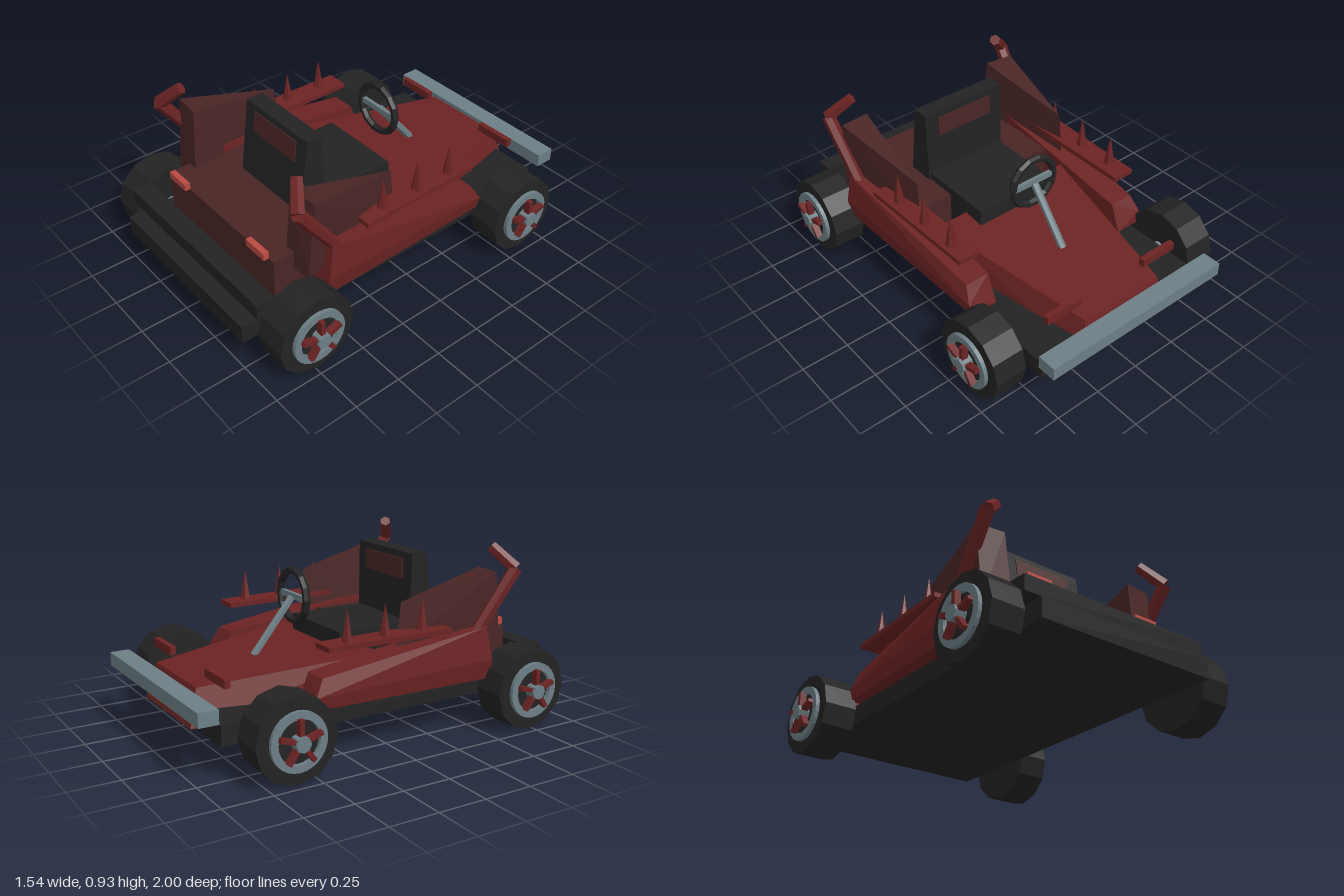
import * as THREE from 'three';
import { ConvexGeometry } from 'three/addons/geometries/ConvexGeometry.js';

const paint = (name, color) => Object.assign(new THREE.MeshStandardMaterial({ color, flatShading: true }), { name });

export function createModel() {
  const model = new THREE.Group();
  model.name = 'kart';
  const red = paint('body red', 0x6c2323);
  const brown = paint('dark maroon', 0x4a2525);
  const black = paint('rubber black', 0x232323);
  const steel = paint('steel grey', 0x6c7f86);
  const lampRed = paint('lamp red', 0xb84a40);

  const add = (name, geo, mat, parent = model) => {
    const mesh = new THREE.Mesh(geo, mat);
    mesh.name = name;
    parent.add(mesh);
    return mesh;
  };
  // Box given by its min and max on each axis
  const box = (name, mat, [x0, x1], [y0, y1], [z0, z1], parent) => {
    const m = add(name, new THREE.BoxGeometry(x1 - x0, y1 - y0, z1 - z0), mat, parent);
    m.position.set((x0 + x1) / 2, (y0 + y1) / 2, (z0 + z1) / 2);
    return m;
  };
  // Faceted solid around a few corners, optionally mirrored by s
  const solid = (name, mat, pts, s = 1) =>
    add(name, new ConvexGeometry(pts.map(([x, y, z]) => new THREE.Vector3(x * s, y, z))), mat);
  // Corners for a shape symmetric in x
  const both = (pts) => pts.flatMap(([x, y, z]) => [[x, y, z], [-x, y, z]]);
  // Round bar between two points
  const bar = (name, mat, a, b, r0, r1, sides, parent) => {
    const p = new THREE.Vector3(...a), q = new THREE.Vector3(...b), d = q.clone().sub(p);
    const m = add(name, new THREE.CylinderGeometry(r1, r0, d.length(), sides), mat, parent);
    m.position.copy(p).add(q).multiplyScalar(0.5);
    m.quaternion.setFromUnitVectors(new THREE.Vector3(0, 1, 0), d.normalize());
    return m;
  };

  // Floor and bumpers
  box('floorPan', black, [-0.5, 0.5], [0.16, 0.26], [-0.875, 1]);
  box('tailBumper', black, [-0.54, 0.54], [0.3, 0.38], [0.84, 0.94]);
  box('noseBumper', steel, [-0.54, 0.54], [0.285, 0.355], [-1, -0.9]);

  // Nose cowl
  solid('noseCowl', red, both([
    [0.27, 0.18, -0.92], [0.235, 0.36, -0.87],
    [0.44, 0.2, 0.06], [0.41, 0.435, 0.02],
  ]));

  // Engine deck
  box('engineDeck', brown, [-0.44, 0.44], [0.26, 0.47], [0.15, 0.77]);

  // Seat
  box('seatCushion', black, [-0.23, 0.23], [0.26, 0.51], [-0.1, 0.34]);
  solid('seatBack', black, both([
    [0.24, 0.46, 0.32], [0.24, 0.86, 0.325], [0.24, 0.46, 0.47], [0.24, 0.86, 0.415],
  ]));
  box('seatFrontPanel', brown, [-0.165, 0.165], [0.72, 0.825], [0.317, 0.325]);
  const panel = box('seatRearPanel', brown, [-0.165, 0.165], [0.72, 0.83], [0.424, 0.432]);
  panel.rotation.x = -0.137;

  // Steering
  bar('steeringColumn', steel, [0, 0.39, -0.455], [0, 0.66, -0.235], 0.02, 0.02, 6);
  add('steeringWheel', new THREE.TorusGeometry(0.13, 0.02, 6, 14), black).position.set(0, 0.665, -0.225);
  box('steeringSpoke', steel, [-0.12, 0.12], [0.65, 0.68], [-0.235, -0.215]);

  for (const s of [1, -1]) {
    const side = s > 0 ? 'left' : 'right';

    // Side pod
    solid(side + 'SidePod', red, [
      [0.41, 0.26, 0.58], [0.58, 0.26, 0.58], [0.595, 0.36, 0.57], [0.58, 0.53, 0.54], [0.41, 0.53, 0.54],
      [0.41, 0.26, -0.44], [0.555, 0.26, -0.44], [0.565, 0.32, -0.43], [0.54, 0.405, -0.38], [0.41, 0.405, -0.38],
    ], s);

    // Spiked rail
    solid(side + 'Rail', red, [0.525, 0.55].flatMap((y) => [
      [0.44, y, -0.36], [0.56, y, -0.36], [0.44, y, 0.33], [0.575, y, 0.33],
    ]), s);
    for (const z of [-0.235, -0.025, 0.19]) {
      add(side + 'Spike', new THREE.ConeGeometry(0.03, 0.17, 6), red).position.set(0.515 * s, 0.625, z);
    }

    // Wedge fin beside the seat
    solid(side + 'Fin', brown, [
      [0.465, 0.44, 0.075], [0.465, 0.685, 0.1],
      [0.38, 0.38, 0.665], [0.545, 0.38, 0.655],
      [0.395, 0.79, 0.63], [0.55, 0.79, 0.615],
    ], s);

    // Bent exhaust pipe
    const elbow = [0.567 * s, 0.8, 0.72];
    bar(side + 'ExhaustLower', red, [0.55 * s, 0.49, 0.49], elbow, 0.03, 0.035, 6);
    bar(side + 'ExhaustTip', red, elbow, [0.465 * s, 0.905, 0.645], 0.035, 0.03, 6);

    // Lamps
    const span = (a, b) => (s > 0 ? [a, b] : [-b, -a]);
    box(side + 'TailLamp', lampRed, span(0.26, 0.4), [0.467, 0.505], [0.765, 0.795]);
    box(side + 'NoseMarker', red, span(0.2, 0.41), [0.392, 0.435], [-0.81, -0.78]);

    // Wheels: tyre, rim ring, spokes, hub and axle
    for (const z of [0.735, -0.61]) {
      const wheel = new THREE.Group();
      wheel.name = side + (z > 0 ? 'TailWheel' : 'NoseWheel');
      wheel.position.set(0, 0.207, z);
      model.add(wheel);
      bar('tyre', black, [0.54 * s, 0, 0], [0.71 * s, 0, 0], 0.207, 0.207, 12, wheel);
      const ring = new THREE.Shape().absarc(0, 0, 0.142, 0, Math.PI * 2);
      ring.holes.push(new THREE.Path().absarc(0, 0, 0.105, 0, Math.PI * 2, true));
      const rim = add('rim', new THREE.ExtrudeGeometry(ring, { depth: 0.03, bevelEnabled: false, curveSegments: 14 }), steel, wheel);
      rim.rotation.y = Math.PI / 2;
      rim.position.x = s > 0 ? 0.7 : -0.73;
      for (let i = 0; i < 5; i++) {
        const a = (i / 5) * Math.PI * 2;
        const spoke = box('spoke', red, [-0.017, 0.017], [0.02, 0.11], [-0.011, 0.011], wheel);
        spoke.position.set(0.738 * s, Math.cos(a) * 0.065, Math.sin(a) * 0.065);
        spoke.rotation.x = a;
      }
      bar('hub', steel, [0.7 * s, 0, 0], [0.768 * s, 0, 0], 0.038, 0.038, 8, wheel);
      bar('axle', steel, [0, 0.005, 0], [0.56 * s, 0.005, 0], 0.025, 0.025, 8, wheel);
    }
  }
  return model;
}
